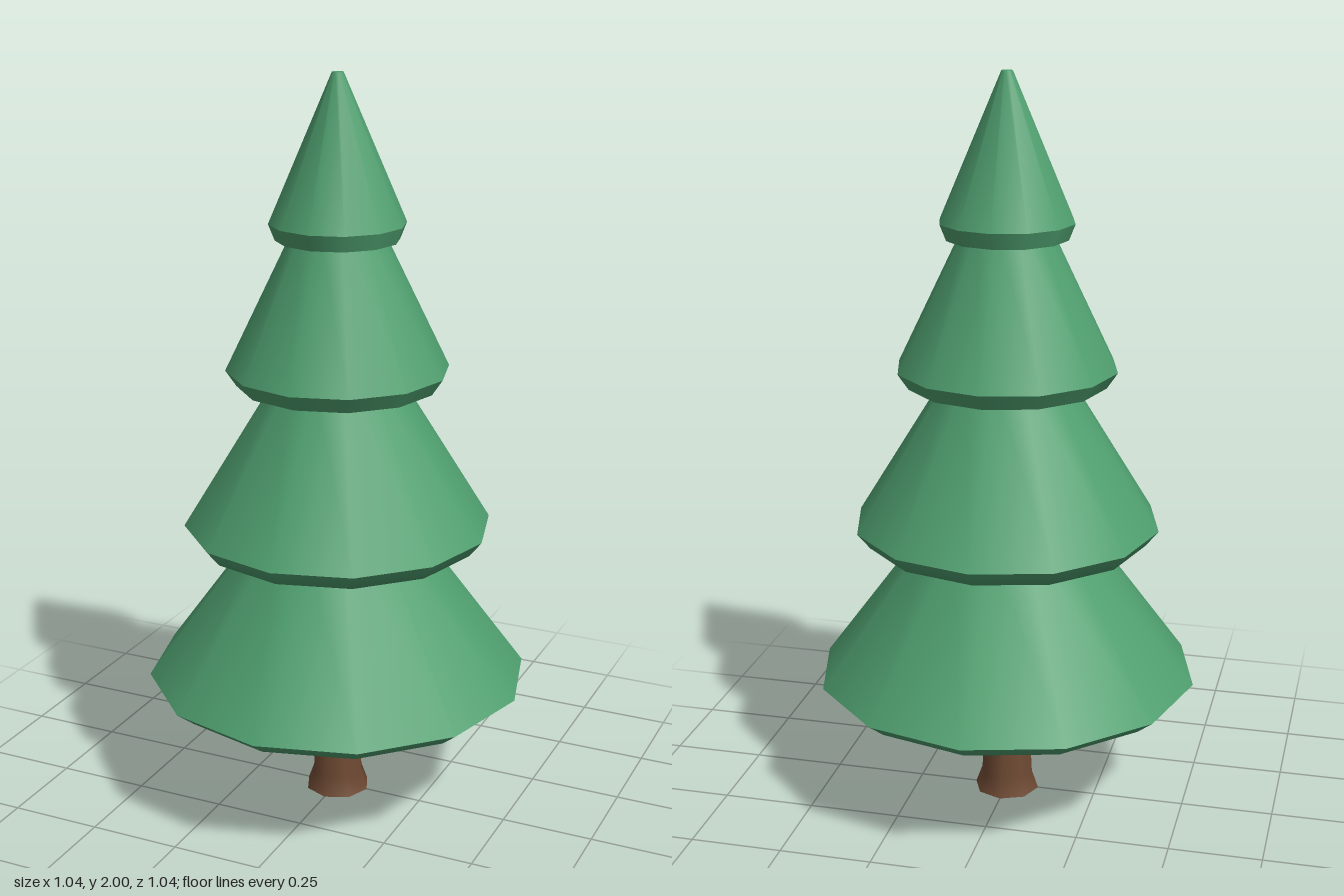
import * as THREE from 'three';
import { mergeGeometries } from 'three/addons/utils/BufferGeometryUtils.js';

// Revolves each run of [radius, y] points smoothly; edges between runs stay sharp.
function turned(runs, sides) {
  return mergeGeometries(runs.map((run) =>
    new THREE.LatheGeometry(run.map(([r, y]) => new THREE.Vector2(r, y)), sides)));
}

export function createModel() {
  const tree = new THREE.Group();
  tree.name = 'pineTree';

  const foliage = new THREE.MeshStandardMaterial({ color: 0x4f9f6f });
  foliage.name = 'pine green';
  const bark = new THREE.MeshStandardMaterial({ color: 0x6f4a33 });
  bark.name = 'bark brown';

  const add = (name, geometry, material) => {
    const mesh = new THREE.Mesh(geometry, material);
    mesh.name = name;
    tree.add(mesh);
  };

  // Trunk with a flared foot
  add('trunk', turned([
    [[0, 0], [0.09, 0]],
    [[0.09, 0], [0.072, 0.05], [0.056, 0.36]],
  ], 8), bark);

  // Foliage tiers, bottom to top: underside, lip, rim and tip
  const tiers = [
    { base: 0.31, lip: [0.47, 0.325], rim: [0.52, 0.365], tip: [0.2, 0.8], softLip: true },
    { base: 0.75, lip: [0.38, 0.757], rim: [0.415, 0.8], tip: [0.15, 1.23], softLip: true },
    { base: 1.18, lip: [0.268, 1.187], rim: [0.297, 1.23], tip: [0.11, 1.615], softLip: false },
    { base: 1.57, lip: [0.163, 1.574], rim: [0.18, 1.617], tip: [0.015, 2], softLip: false },
  ];
  tiers.forEach(({ base, lip, rim, tip, softLip }, i) => {
    const below = softLip
      ? [[[0, base], [0.2, base], lip, rim]]
      : [[[0, base], lip], [lip, rim]];
    add(`foliageTier${i + 1}`, turned([
      ...below,
      [rim, tip],
      [tip, [0, tip[1]]],
    ], 12), foliage);
  });

  return tree;
}
